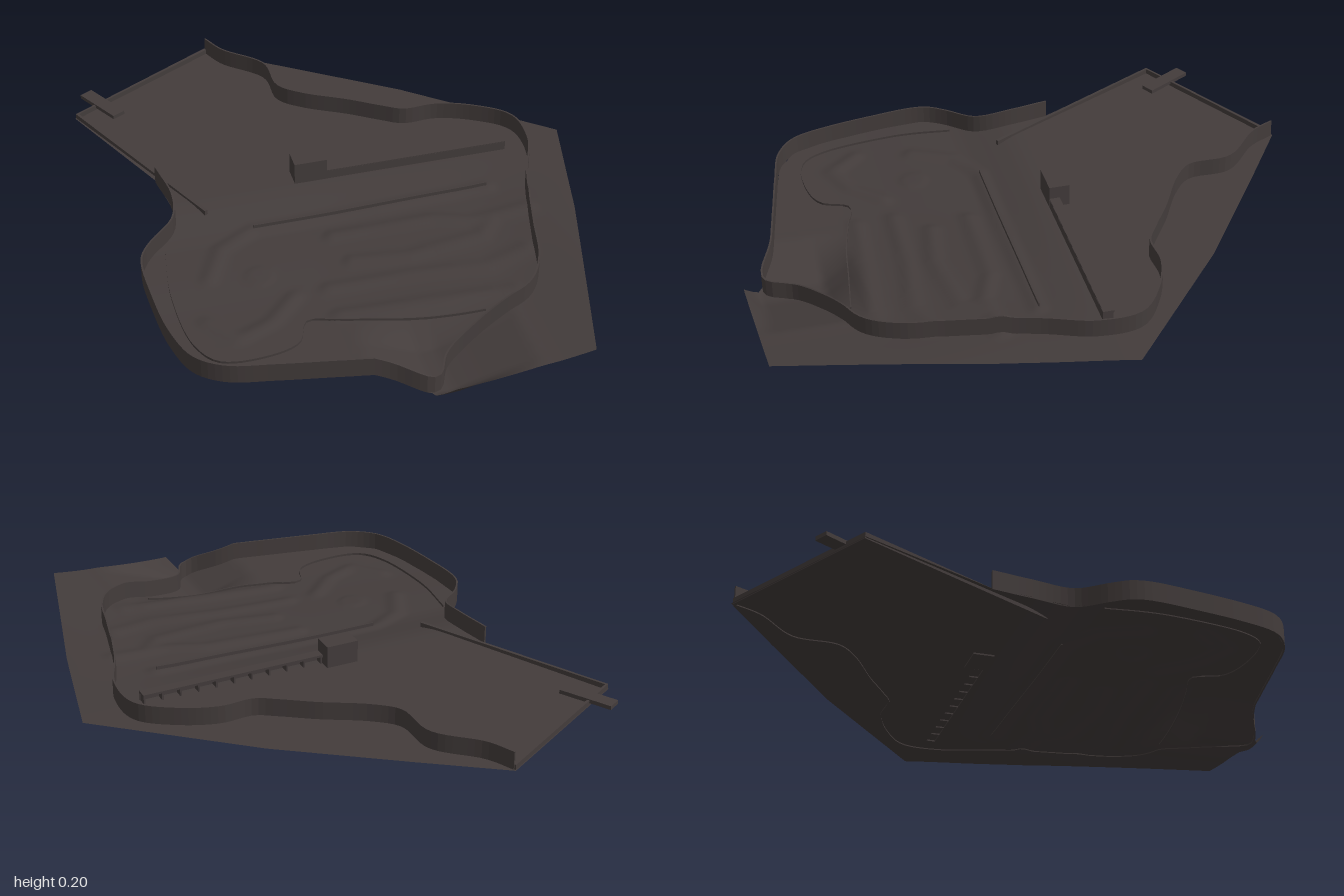
import * as THREE from 'three';

const asphalt = new THREE.MeshStandardMaterial({ color: 0x433c3b, side: THREE.DoubleSide });
asphalt.name = 'dark asphalt';

const ramp = (a, b, v) => THREE.MathUtils.smoothstep(v, a, b);
const lin = (a, b, v) => THREE.MathUtils.clamp((v - a) / (b - a), 0, 1);

// edge of the ground sheet, as x, z pairs
const outline = [
  [-0.28, -1], [-0.02, -0.82], [0.36, -0.55], [0.83, -0.15], [0.73, 0.29], [0.54, 0.98], [0.08, 1],
  [0.01, 0.93], [-0.1, 0.88], [-0.24, 0.85], [-0.45, 0.81], [-0.6, 0.775], [-0.685, 0.71], [-0.73, 0.585],
  [-0.753, 0.4], [-0.753, 0.21], [-0.71, 0.135], [-0.615, 0.04], [-0.595, -0.05], [-0.62, -0.23], [-0.83, -0.685],
];

// raised banks that wind through the lower field
const banks = [
  [[-0.55, 0.3], [-0.48, 0.16], [-0.35, 0.09], [0.48, 0.09]],
  [[-0.1, 0.19], [0.25, 0.2], [0.38, 0.25], [0.58, 0.24]],
  [[-0.07, 0.33], [0.12, 0.36], [0.38, 0.33], [0.45, 0.25]],
  [[-0.18, 0.44], [0.1, 0.45], [0.35, 0.48], [0.5, 0.44]],
  [[-0.18, 0.57], [0.1, 0.59], [0.4, 0.62]],
  [[-0.6, 0.5], [-0.52, 0.6], [-0.4, 0.55], [-0.3, 0.45]],
];

function segmentDistance(x, z, [ax, az], [bx, bz]) {
  const dx = bx - ax, dz = bz - az;
  const t = lin(0, dx * dx + dz * dz, (x - ax) * dx + (z - az) * dz);
  return Math.hypot(x - ax - dx * t, z - az - dz * t);
}

// ground height: flat plateau behind, lower field in front, deep hollow at the front edge
function heightAt(x, z) {
  const right = ramp(0.35, 0.72, x);
  let h = 0.125 - (0.036 * ramp(-0.1, 0.15, z) * (1 - 0.4 * ramp(-0.2, 0.4, x))
    + 0.016 * ramp(0.15, 0.6, z)) * (1 - 0.85 * right);
  const field = ramp(0, 0.1, z) * (1 - ramp(0.62, 0.72, z));
  if (field > 0) {
    let d = 1;
    for (const b of banks) for (let i = 1; i < b.length; i++) d = Math.min(d, segmentDistance(x, z, b[i - 1], b[i]));
    h += field * 0.009 * (1 - ramp(0, 0.045, d));
    h += 0.004 * (1 - ramp(0.04, 0.055, Math.hypot(x + 0.385, z - 0.325)));
  }
  const hollow = lin(-0.15, 0.03, x) * (1 - lin(0.09, 0.36, x)) * lin(0.62, 0.73, z) * (1 - 0.85 * lin(0.95, 1, z));
  return THREE.MathUtils.lerp(h, 0.006, hollow);
}

function makeGround() {
  const rim = [];
  outline.forEach(([x, z], i) => {
    const [nx, nz] = outline[(i + 1) % outline.length];
    const n = Math.max(2, Math.ceil(Math.hypot(nx - x, nz - z) / 0.025));
    for (let k = 0; k < n; k++) rim.push([x + (nx - x) * k / n, z + (nz - z) * k / n]);
  });
  const rings = 56, n = rim.length, pos = [], index = [];
  for (let r = 0; r <= rings; r++) {
    for (const [x, z] of rim) {
      const s = r / rings;
      pos.push(x * s, heightAt(x * s, z * s), z * s);
    }
  }
  for (let r = 0; r < rings; r++) {
    for (let i = 0; i < n; i++) {
      const a = r * n + i, b = r * n + (i + 1) % n, c = a + n, d = b + n;
      index.push(a, d, c);
      if (r > 0) index.push(a, b, d);
    }
  }
  const g = new THREE.BufferGeometry();
  g.setAttribute('position', new THREE.Float32BufferAttribute(pos, 3));
  g.setIndex(index);
  g.computeVertexNormals();
  return g;
}

// upright strip of given thickness that follows a path over the ground
function makeWall(path, thickness, height, smooth = true, sink = 0.004) {
  const pts = path.map(([x, z]) => new THREE.Vector3(x, 0, z));
  const curve = smooth ? new THREE.CatmullRomCurve3(pts, false, 'centripetal') : null;
  const line = smooth ? curve.getSpacedPoints(path.length * 6) : pts;
  const pos = [], index = [], t = new THREE.Vector3();
  line.forEach((p, i) => {
    t.subVectors(line[Math.min(i + 1, line.length - 1)], line[Math.max(i - 1, 0)]).normalize();
    const y = heightAt(p.x, p.z), sx = t.z * thickness / 2, sz = -t.x * thickness / 2;
    pos.push(p.x - sx, y - sink, p.z - sz, p.x - sx, y + height, p.z - sz,
      p.x + sx, y + height, p.z + sz, p.x + sx, y - sink, p.z + sz);
    if (i === 0) return;
    for (let k = 0; k < 4; k++) {
      const a = (i - 1) * 4 + k, b = (i - 1) * 4 + (k + 1) % 4;
      index.push(a, b, b + 4, a, b + 4, a + 4);
    }
  });
  const e = (line.length - 1) * 4;
  index.push(0, 2, 1, 0, 3, 2, e, e + 1, e + 2, e, e + 2, e + 3);
  let g = new THREE.BufferGeometry();
  g.setAttribute('position', new THREE.Float32BufferAttribute(pos, 3));
  g.setIndex(index);
  g = g.toNonIndexed();
  g.computeVertexNormals();
  return g;
}

export function createModel() {
  const model = new THREE.Group();
  model.name = 'circuit terrain';
  const add = (name, geometry, x = 0, y = 0, z = 0) => {
    const m = new THREE.Mesh(geometry, asphalt);
    m.name = name;
    m.position.set(x, y, z);
    model.add(m);
    return m;
  };

  add('ground', makeGround());

  // tall wall round the left and front edge, then along the right and back of the field
  const leftWall = outline.slice(7, 20).reverse();
  add('outerWall', makeWall([...leftWall, [0.05, 0.92], [0.1, 0.83], [0.23, 0.75], [0.43, 0.665], [0.5, 0.56],
    [0.54, 0.4], [0.61, 0.135], [0.68, -0.05], [0.67, -0.2], [0.56, -0.29], [0.43, -0.34], [0.31, -0.34],
    [0.24, -0.38], [0.135, -0.45], [-0.02, -0.54], [-0.09, -0.61], [-0.105, -0.765], [-0.235, -0.9],
    [-0.28, -0.99]], 0.006, 0.064));

  // low kerbs
  add('plateauFence', makeWall([[-0.49, -0.01], [-0.82, -0.685], [-0.28, -0.99]], 0.012, 0.018, false));
  add('innerBarrier', makeWall([[-0.66, 0.13], [-0.685, 0.35], [-0.66, 0.6], [-0.6, 0.69], [-0.45, 0.705],
    [-0.34, 0.67], [-0.29, 0.575], [-0.18, 0.6], [-0.05, 0.63], [0.1, 0.65], [0.28, 0.675]], 0.004, 0.008));
  add('fieldKerb', makeWall([[-0.35, 0.09], [0.48, 0.09]], 0.004, 0.012));

  // footbridge across the back left fence
  const bridge = add('footbridge', new THREE.BoxGeometry(0.05, 0.014, 0.19), -0.722, 0.14, -0.727);
  bridge.rotation.y = 0.51;

  // control building and the long stall row beside it
  add('controlBuilding', new THREE.BoxGeometry(0.115, 0.085, 0.073), -0.102, 0.162, -0.123);
  add('stallRoof', new THREE.BoxGeometry(0.655, 0.008, 0.037), 0.282, 0.155, -0.106);
  add('stallFrontWall', new THREE.BoxGeometry(0.655, 0.036, 0.006), 0.282, 0.138, -0.09);
  const divider = new THREE.BoxGeometry(0.006, 0.036, 0.034);
  for (let i = 0; i <= 10; i++) add('stallDivider', divider, -0.04 + i * 0.0645, 0.138, -0.106);

  return model;
}
